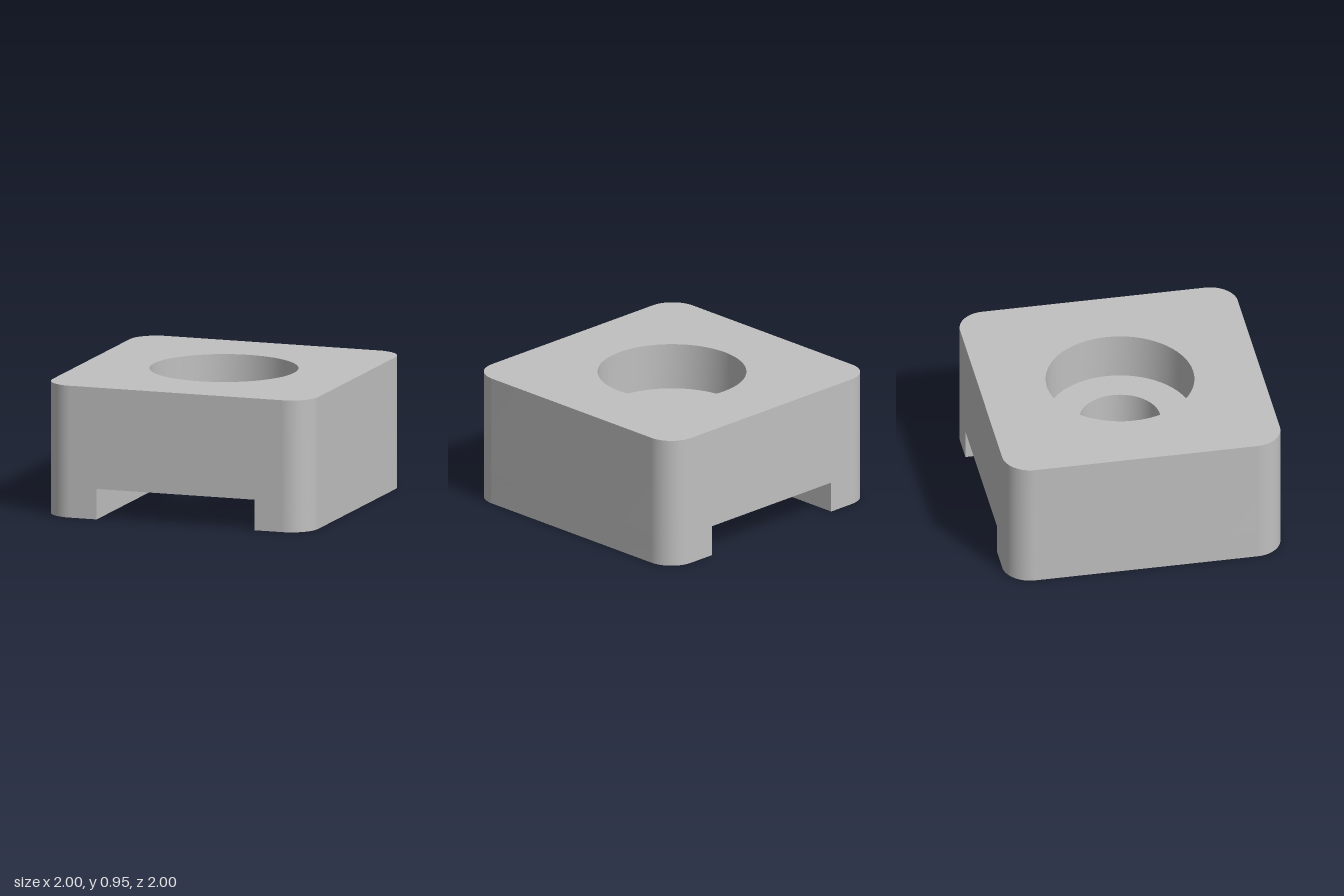
import * as THREE from 'three';
import { mergeGeometries, toCreasedNormals } from 'three/addons/utils/BufferGeometryUtils.js';

const HEIGHT = 0.95, CHANNEL_TOP = 0.22, CHANNEL_X = 0.595, CORNER = 0.2;
const BORE_R = 0.527, BORE_FLOOR = 0.614, HOLE_R = 0.287;
const SCREW_R = 0.107, SCREW_POS = 0.75, SCREW_TOP = 0.35;
const SEGMENTS = 32;

const circle = (r, x = 0, y = 0) => new THREE.Shape().absarc(x, y, r, 0, Math.PI * 2);

// Plan outline from x0 to the right side; the left corners can stay square
function outline(x0, roundLeft) {
  const c = 1 - CORNER, s = new THREE.Shape();
  s.moveTo(roundLeft ? x0 + CORNER : x0, -1);
  s.lineTo(c, -1);
  s.absarc(c, -c, CORNER, -Math.PI / 2, 0);
  s.lineTo(1, c);
  s.absarc(c, c, CORNER, 0, Math.PI / 2);
  if (roundLeft) {
    s.lineTo(x0 + CORNER, 1);
    s.absarc(x0 + CORNER, c, CORNER, Math.PI / 2, Math.PI);
    s.lineTo(x0, -c);
    s.absarc(x0 + CORNER, -c, CORNER, Math.PI, Math.PI * 1.5);
  } else {
    s.lineTo(x0, 1);
  }
  return s;
}

// Upright wall along a closed outline, facing out or in
function wall(shape, y0, y1, inward = false) {
  const pts = shape.getPoints(SEGMENTS);
  if (inward) pts.reverse();
  const pos = [];
  pts.forEach((p, i) => {
    const q = pts[(i + 1) % pts.length];
    if (p.distanceTo(q) < 1e-5) return;
    const a = [p.x, y0, -p.y], b = [q.x, y0, -q.y];
    const c = [q.x, y1, -q.y], d = [p.x, y1, -p.y];
    pos.push(...a, ...b, ...c, ...a, ...c, ...d);
  });
  const g = new THREE.BufferGeometry();
  g.setAttribute('position', new THREE.Float32BufferAttribute(pos, 3));
  return toCreasedNormals(g, 0.5);
}

// Flat horizontal face with optional holes, facing up or down
function face(shape, y, up, holes = []) {
  shape.holes = holes;
  const g = new THREE.ShapeGeometry(shape, SEGMENTS).toNonIndexed();
  g.deleteAttribute('uv');
  return g.rotateX(up ? -Math.PI / 2 : Math.PI / 2).translate(0, y, 0);
}

export function createModel() {
  const model = new THREE.Group();
  model.name = 'mountingBlock';
  const grey = new THREE.MeshStandardMaterial({ color: 0xc0c0c0 });
  grey.name = 'grey';
  const add = (parent, name, parts) => {
    const mesh = new THREE.Mesh(mergeGeometries(parts), grey);
    mesh.name = name;
    parent.add(mesh);
  };

  // Main block above the channel
  add(model, 'block', [
    wall(outline(-1, true), CHANNEL_TOP, HEIGHT),
    face(outline(-1, true), HEIGHT, true, [circle(BORE_R)]),
  ]);

  // Counterbore and the hole through its floor
  add(model, 'counterbore', [
    wall(circle(BORE_R), BORE_FLOOR, HEIGHT, true),
    face(circle(BORE_R), BORE_FLOOR, true, [circle(HOLE_R)]),
  ]);
  add(model, 'throughHole', [wall(circle(HOLE_R), CHANNEL_TOP, BORE_FLOOR, true)]);

  // Ceiling of the channel
  const ceiling = new THREE.Shape([
    new THREE.Vector2(-CHANNEL_X, -1), new THREE.Vector2(CHANNEL_X, -1),
    new THREE.Vector2(CHANNEL_X, 1), new THREE.Vector2(-CHANNEL_X, 1),
  ]);
  add(model, 'channelCeiling', [face(ceiling, CHANNEL_TOP, false, [circle(HOLE_R)])]);

  // Two feet, each with a pair of blind screw holes
  ['leftFoot', 'rightFoot'].forEach((name, i) => {
    const foot = new THREE.Group();
    foot.name = name;
    const holes = [-SCREW_POS, SCREW_POS].map(z => circle(SCREW_R, SCREW_POS, z));
    add(foot, 'footBody', [
      wall(outline(CHANNEL_X, false), 0, CHANNEL_TOP),
      face(outline(CHANNEL_X, false), 0, false, holes),
    ]);
    add(foot, 'screwHoles', holes.flatMap(h => [
      wall(h, 0, SCREW_TOP, true),
      face(h.clone(), SCREW_TOP, false),
    ]));
    foot.rotation.y = i * Math.PI;
    model.add(foot);
  });

  return model;
}
